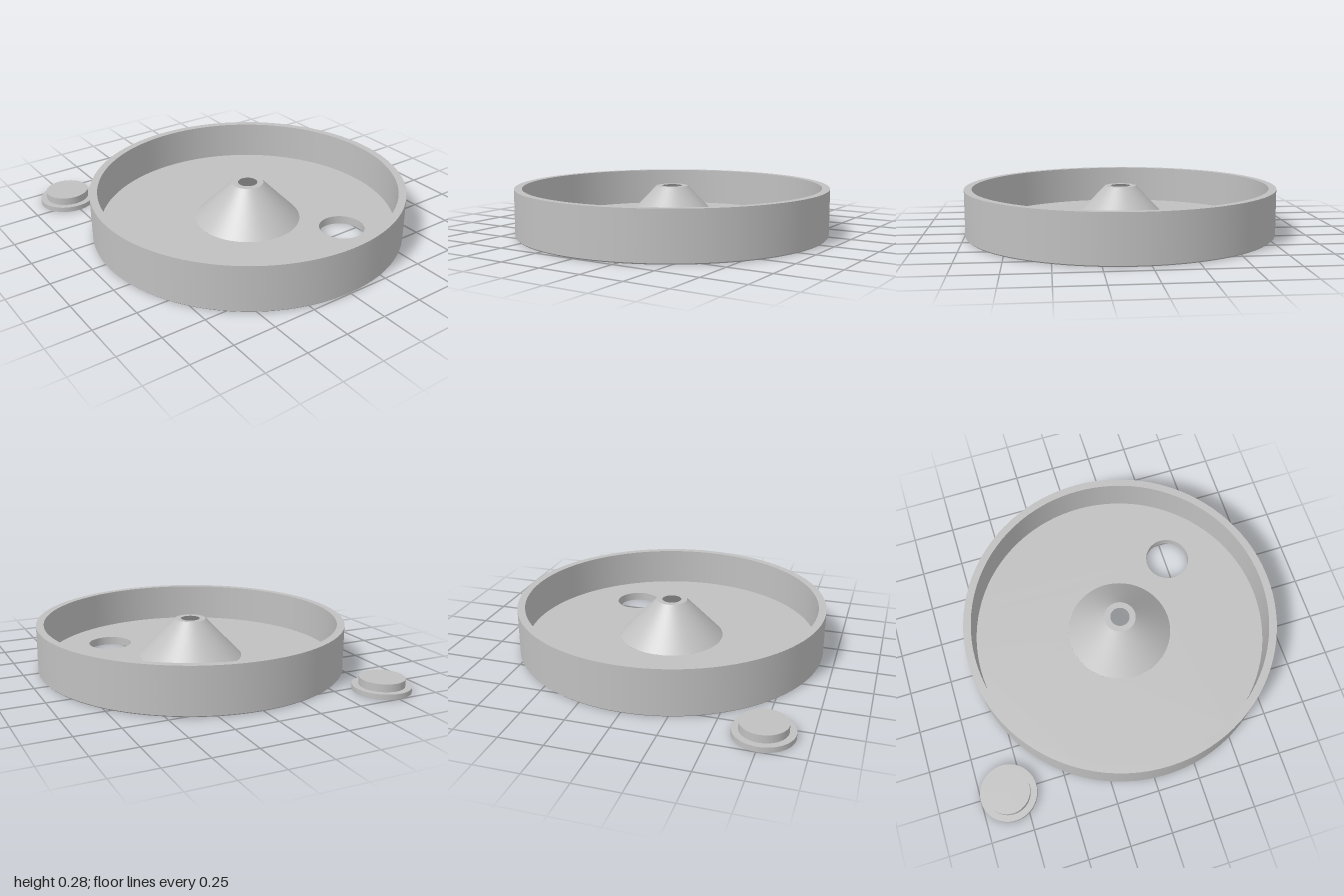
import * as THREE from 'three';
import { mergeGeometries } from 'three/addons/utils/BufferGeometryUtils.js';

const SEGMENTS = 96;
const WALL = 0.925, INNER = 0.88, HEIGHT = 0.278, FLOOR = 0.05, CHAMFER = 0.007;
const CONE = 0.313, CONE_INSIDE = 0.276;
const DRAIN = { x: 0.435, z: -0.37, r: 0.133 };

// Revolve each profile segment on its own so the corners stay sharp
function revolve(profile) {
  const bands = [];
  for (let i = 0; i < profile.length - 1; i++) {
    const pair = [profile[i], profile[i + 1]].map(([r, y]) => new THREE.Vector2(r, y));
    bands.push(new THREE.LatheGeometry(pair, SEGMENTS));
  }
  return mergeGeometries(bands);
}

// Flat disc with the central opening and the drain hole, facing up or down
function disc(radius, opening, y, up) {
  const shape = new THREE.Shape().absarc(0, 0, radius, 0, Math.PI * 2);
  const side = up ? -1 : 1;
  shape.holes.push(
    new THREE.Path().absarc(0, 0, opening, 0, Math.PI * 2, true),
    new THREE.Path().absarc(DRAIN.x, side * DRAIN.z, DRAIN.r, 0, Math.PI * 2, true),
  );
  return new THREE.ShapeGeometry(shape, SEGMENTS)
    .rotateX(side * Math.PI / 2)
    .translate(0, y, 0);
}

export function createModel() {
  const model = new THREE.Group();
  const grey = new THREE.MeshStandardMaterial({ color: 0xc0c0c0 });
  grey.name = 'plain grey';

  const add = (parent, name, geometry) => {
    const mesh = new THREE.Mesh(geometry, grey);
    mesh.name = name;
    parent.add(mesh);
    return mesh;
  };

  // Round tray
  const tray = new THREE.Group();
  tray.name = 'tray';
  tray.position.x = 0.075;
  model.add(tray);

  add(tray, 'rimWall', revolve([
    [WALL - CHAMFER, 0], [WALL, CHAMFER], [WALL, HEIGHT], [INNER, HEIGHT], [INNER, FLOOR],
  ]));
  add(tray, 'floorTop', disc(INNER, CONE, FLOOR, true));
  add(tray, 'floorUnderside', disc(WALL - CHAMFER, CONE_INSIDE, 0, false));

  // Hollow cone, open at the top and beneath
  add(tray, 'centreCone', revolve([
    [CONE, FLOOR], [0.093, HEIGHT], [0.057, HEIGHT], [CONE_INSIDE, FLOOR], [CONE_INSIDE, 0],
  ]));

  // Inside wall of the drain hole
  add(tray, 'drainHole', revolve([[DRAIN.r, FLOOR], [DRAIN.r, 0]]))
    .position.set(DRAIN.x, 0, DRAIN.z);

  // Loose stepped plug for the drain hole
  add(model, 'plug', revolve([
    [0, 0], [0.165, 0], [0.165, 0.03], [0.128, 0.03], [0.128, 0.075], [0, 0.075],
  ])).position.set(-0.835, 0, 0.757);

  return model;
}
